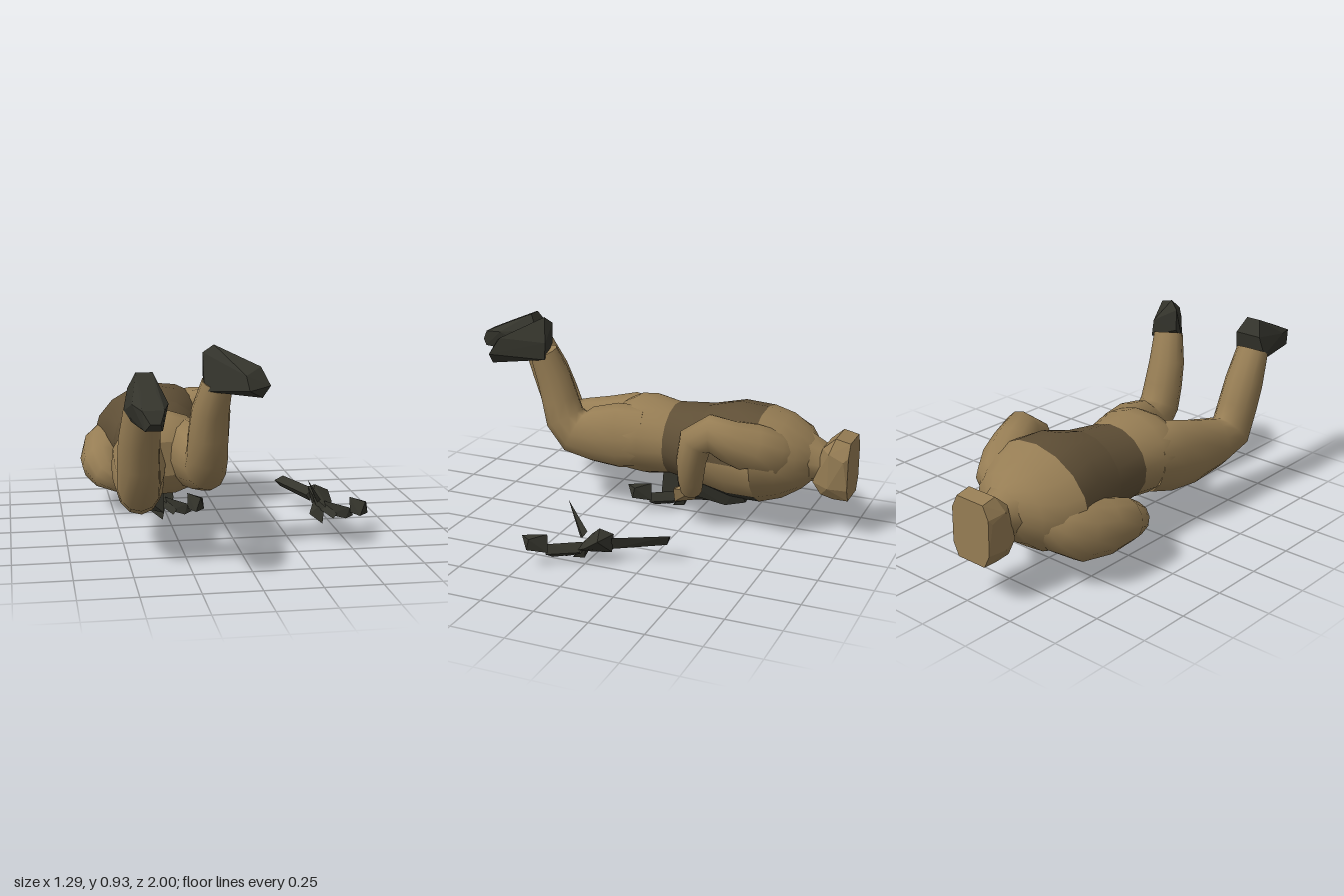
import * as THREE from 'three';
import { ConvexGeometry } from 'three/addons/geometries/ConvexGeometry.js';

const V = (x, y, z) => new THREE.Vector3(x, y, z);
const material = (name, color) => {
  const m = new THREE.MeshStandardMaterial({ color });
  m.name = name;
  return m;
};

export function createModel() {
  const cloth = material('tan cloth', 0x967d54);
  const vestCloth = material('dark brown vest', 0x5f4f36);
  const dark = material('dark leather and metal', 0x34342c);
  const model = new THREE.Group();

  const add = (name, geometry, mat, parent = model) => {
    const mesh = new THREE.Mesh(geometry, mat);
    mesh.name = name;
    parent.add(mesh);
  };

  // Skin of rings (arrays of points) with closed ends; paint(column) picks a material group
  function skin(rings, paint = () => 0) {
    const n = rings[0].length, pos = [], idx = [];
    const g = new THREE.BufferGeometry();
    rings.forEach(r => r.forEach(p => pos.push(p.x, p.y, p.z)));
    for (let j = 0; j < n; j++) {
      g.addGroup(idx.length, (rings.length - 1) * 6, paint(j));
      for (let i = 0; i < rings.length - 1; i++) {
        const a = i * n + j, b = i * n + (j + 1) % n;
        idx.push(a, b, b + n, a, b + n, a + n);
      }
    }
    g.addGroup(idx.length, n * 6, 0);
    for (const end of [0, rings.length - 1]) {
      const base = pos.length / 3, c = V(0, 0, 0);
      rings[end].forEach(p => c.addScaledVector(p, 1 / n));
      rings[end].forEach(p => pos.push(p.x, p.y, p.z));
      pos.push(c.x, c.y, c.z);
      for (let j = 0; j < n; j++) {
        const a = base + j, b = base + (j + 1) % n;
        idx.push(...(end ? [a, b, base + n] : [b, a, base + n]));
      }
    }
    g.setAttribute('position', new THREE.Float32BufferAttribute(pos, 3));
    g.setIndex(idx);
    g.computeVertexNormals();
    return g;
  }

  // Limb along stations [x, y, z, radius, sideways radius]
  function limb(stations, sides = 12) {
    const pts = stations.map(s => V(s[0], s[1], s[2]));
    const side = V(1, 0.1, 0);
    return skin(pts.map((p, i) => {
      const t = pts[Math.min(i + 1, pts.length - 1)].clone().sub(pts[Math.max(i - 1, 0)]).normalize();
      side.addScaledVector(t, -side.dot(t)).normalize();
      const up = t.clone().cross(side);
      const [, , , r, w = r] = stations[i];
      return Array.from({ length: sides }, (_, j) => {
        const a = j / sides * Math.PI * 2;
        return p.clone().addScaledVector(side, Math.cos(a) * w).addScaledVector(up, Math.sin(a) * r);
      });
    }));
  }

  // Body section along z: [z, centre x, centre y, half width, half height, roll]
  const trunk = (sections, paint) => skin(sections.map(([z, cx, cy, rx, ry, roll]) =>
    Array.from({ length: 16 }, (_, j) => {
      const a = (j + 0.5) / 8 * Math.PI, x = Math.cos(a) * rx, y = Math.sin(a) * ry;
      const c = Math.cos(roll), s = Math.sin(roll);
      return V(cx + x * c - y * s, cy + x * s + y * c, z);
    })), paint);

  const hull = points => new ConvexGeometry(points.map(p => V(...p)));

  // Torso in cloth zones; the chest is brown on the back, tan on the lower flanks, dark in front
  const chestEdge = [-0.59, -0.275, 0.355, 0.295, 0.23, 0.22];
  const ribEdge = [-0.3, -0.28, 0.355, 0.215, 0.2, 0.15];
  const waistEdge = [-0.12, -0.295, 0.36, 0.195, 0.175, 0.08];
  add('shoulders', trunk([
    [-0.82, -0.285, 0.36, 0.1, 0.1, 0], [-0.77, -0.285, 0.36, 0.19, 0.15, 0.1],
    [-0.69, -0.285, 0.355, 0.26, 0.2, 0.2], chestEdge]), cloth);
  add('chest', trunk([chestEdge, [-0.45, -0.27, 0.36, 0.255, 0.235, 0.2], ribEdge],
    j => [10, 11, 12].includes(j) ? 2 : [8, 9, 13, 14].includes(j) ? 1 : 0), [vestCloth, cloth, dark]);
  add('vestWaist', trunk([ribEdge, waistEdge]), vestCloth);
  add('hips', trunk([waistEdge,
    [0, -0.292, 0.365, 0.22, 0.195, 0.05], [0.08, -0.295, 0.365, 0.23, 0.185, 0.05],
    [0.14, -0.295, 0.37, 0.2, 0.15, 0.05], [0.18, -0.29, 0.37, 0.1, 0.08, 0.05]]), cloth);

  // Dark pouches strapped to the chest and belly
  add('chestPouches', hull([
    ...[-0.4, -0.17].flatMap(x => [[x, 0.13, -0.52], [x, 0.1, -0.42], [x, 0.125, -0.25], [x, 0.16, -0.18]]),
    ...[-0.4, -0.13].flatMap(x => [[x, 0.23, -0.5], [x, 0.23, -0.19]])]), dark);
  add('bellyPouch', hull([
    [-0.42, 0.14, -0.14], [-0.4, 0.15, -0.06], [-0.38, 0.07, -0.1], [-0.28, 0.19, -0.06],
    [-0.28, 0.055, -0.05], [-0.29, 0.06, -0.14], [-0.3, 0.2, -0.16]]), dark);

  // Neck, collar and head
  add('collar', limb([[-0.285, 0.36, -0.77, 0.13], [-0.285, 0.35, -0.87, 0.088]], 8), cloth);
  add('head', hull([
    ...[-0.37, -0.21].flatMap(x => [[x, 0.44, -0.87], [x, 0.27, -0.83], [x, 0.215, -0.87]]),
    ...[-0.4, -0.17].flatMap(x => [[x, 0.43, -0.91], [x, 0.26, -0.91], [x + 0.005, 0.4, -0.98]]),
    ...[-0.36, -0.21].flatMap(x => [[x, 0.495, -0.93], [x, 0.2, -0.93], [x, 0.48, -1], [x, 0.2, -1]]),
    ...[-0.39, -0.18].flatMap(x => [[x, 0.42, -1], [x, 0.26, -1]])]), cloth);

  // Legs bent upward at the knee
  add('leftLeg', limb([
    [-0.19, 0.38, 0, 0.15, 0.11], [-0.17, 0.375, 0.13, 0.16, 0.115], [-0.15, 0.37, 0.26, 0.135, 0.1],
    [-0.14, 0.375, 0.345, 0.115, 0.095], [-0.14, 0.44, 0.405, 0.1, 0.092], [-0.14, 0.53, 0.43, 0.09],
    [-0.135, 0.64, 0.46, 0.083], [-0.11, 0.77, 0.5, 0.068]]), cloth);
  add('rightLeg', limb([
    [-0.4, 0.35, 0, 0.15, 0.11], [-0.415, 0.34, 0.13, 0.175, 0.125], [-0.43, 0.315, 0.28, 0.158, 0.115],
    [-0.445, 0.315, 0.44, 0.125, 0.1], [-0.455, 0.34, 0.555, 0.115, 0.092], [-0.46, 0.46, 0.6, 0.1, 0.09],
    [-0.46, 0.57, 0.645, 0.095, 0.088], [-0.455, 0.71, 0.71, 0.075]]), cloth);

  // Boots
  add('leftBoot', hull([
    [-0.17, 0.9, 0.48], [-0.125, 0.935, 0.5], [-0.17, 0.8, 0.48], [-0.05, 0.83, 0.46],
    [-0.17, 0.74, 0.53], [-0.04, 0.75, 0.46], [0.05, 0.86, 0.65], [0.085, 0.785, 0.69],
    [0.05, 0.735, 0.69], [-0.01, 0.77, 0.73], [-0.04, 0.75, 0.6], [-0.02, 0.83, 0.7]]), dark);
  add('rightBoot', hull([
    [-0.48, 0.86, 0.72], [-0.41, 0.86, 0.72], [-0.51, 0.79, 0.68], [-0.38, 0.79, 0.68],
    [-0.53, 0.7, 0.7], [-0.37, 0.7, 0.7], [-0.5, 0.665, 0.77], [-0.38, 0.665, 0.77],
    [-0.51, 0.76, 0.88], [-0.365, 0.76, 0.88], [-0.47, 0.8, 0.86], [-0.41, 0.8, 0.86],
    [-0.47, 0.67, 0.98], [-0.4, 0.67, 0.98], [-0.48, 0.75, 0.97], [-0.39, 0.75, 0.97],
    [-0.45, 0.7, 1], [-0.41, 0.7, 1]]), dark);

  // Arms folded under the chest
  add('leftArm', limb([
    [-0.19, 0.39, -0.73, 0.06], [-0.13, 0.41, -0.66, 0.115], [-0.075, 0.445, -0.57, 0.118],
    [-0.025, 0.48, -0.48, 0.1], [0, 0.515, -0.4, 0.09], [0.005, 0.47, -0.33, 0.082],
    [0.005, 0.37, -0.31, 0.07], [-0.02, 0.27, -0.3, 0.06], [-0.06, 0.2, -0.29, 0.05]]), cloth);
  add('rightArm', limb([
    [-0.4, 0.33, -0.73, 0.06], [-0.445, 0.3, -0.66, 0.12], [-0.495, 0.255, -0.56, 0.14],
    [-0.525, 0.235, -0.44, 0.125], [-0.545, 0.23, -0.33, 0.1], [-0.53, 0.205, -0.27, 0.08],
    [-0.47, 0.175, -0.25, 0.062], [-0.4, 0.15, -0.28, 0.05]]), cloth);
  const hand = (name, x, y, z) => add(name, hull([
    [x - 0.05, y, z - 0.04], [x + 0.06, y + 0.04, z - 0.06], [x + 0.05, y + 0.02, z + 0.06],
    [x - 0.04, y - 0.01, z + 0.09], [x - 0.03, y - 0.05, z - 0.02], [x + 0.03, y - 0.05, z + 0.06],
    [x, y + 0.05, z]]), cloth);
  hand('leftHand', -0.08, 0.18, -0.27);
  hand('rightHand', -0.42, 0.14, -0.3);

  // Rifle, used twice: one on the ground and one beneath the body
  function rifle(name, x, z) {
    const g = new THREE.Group();
    g.name = name;
    g.position.set(x, 0, z);
    add('barrel', hull([
      [0.31, 0.12, -0.335], [0.355, 0.14, -0.345], [0.34, 0.09, -0.33],
      [0.42, 0.1, -0.1], [0.455, 0.13, -0.11], [0.44, 0.07, -0.1]]), dark, g);
    add('receiver', hull([
      [0.43, 0.14, -0.11], [0.45, 0.06, -0.11], [0.52, 0.13, -0.07], [0.525, 0.09, -0.01],
      [0.43, 0.12, 0], [0.45, 0.05, 0.03], [0.5, 0.06, 0.05], [0.45, 0.165, -0.05]]), dark, g);
    add('magazine', hull([
      [0.44, 0.1, -0.02], [0.49, 0.09, 0], [0.46, 0.005, 0.08], [0.4, 0.05, 0.06], [0.46, 0.015, 0.02]]), dark, g);
    add('grip', hull([
      [0.47, 0.1, 0], [0.5, 0.05, 0.02], [0.46, 0.06, 0.03], [0.54, 0.07, 0.09], [0.51, 0.03, 0.09]]), dark, g);
    add('sling', hull([
      [0.37, 0.24, 0.14], [0.43, 0.13, 0.02], [0.46, 0.11, 0.03], [0.44, 0.1, 0.05]]), dark, g);
    add('stockBar', hull([
      [0.48, 0.1, 0.02], [0.51, 0.06, 0.02], [0.5, 0.04, 0.05], [0.57, 0.1, 0.16],
      [0.59, 0.06, 0.15], [0.56, 0.04, 0.13]]), dark, g);
    add('stock', hull([
      [0.57, 0.15, 0.15], [0.57, 0.08, 0.17], [0.59, 0.07, 0.14], [0.635, 0.14, 0.21],
      [0.64, 0.09, 0.22], [0.62, 0.15, 0.25], [0.6, 0.08, 0.24]]), dark, g);
    model.add(g);
  }
  rifle('groundRifle', 0, 0);
  rifle('bodyRifle', -0.74, -0.19);

  return model;
}
